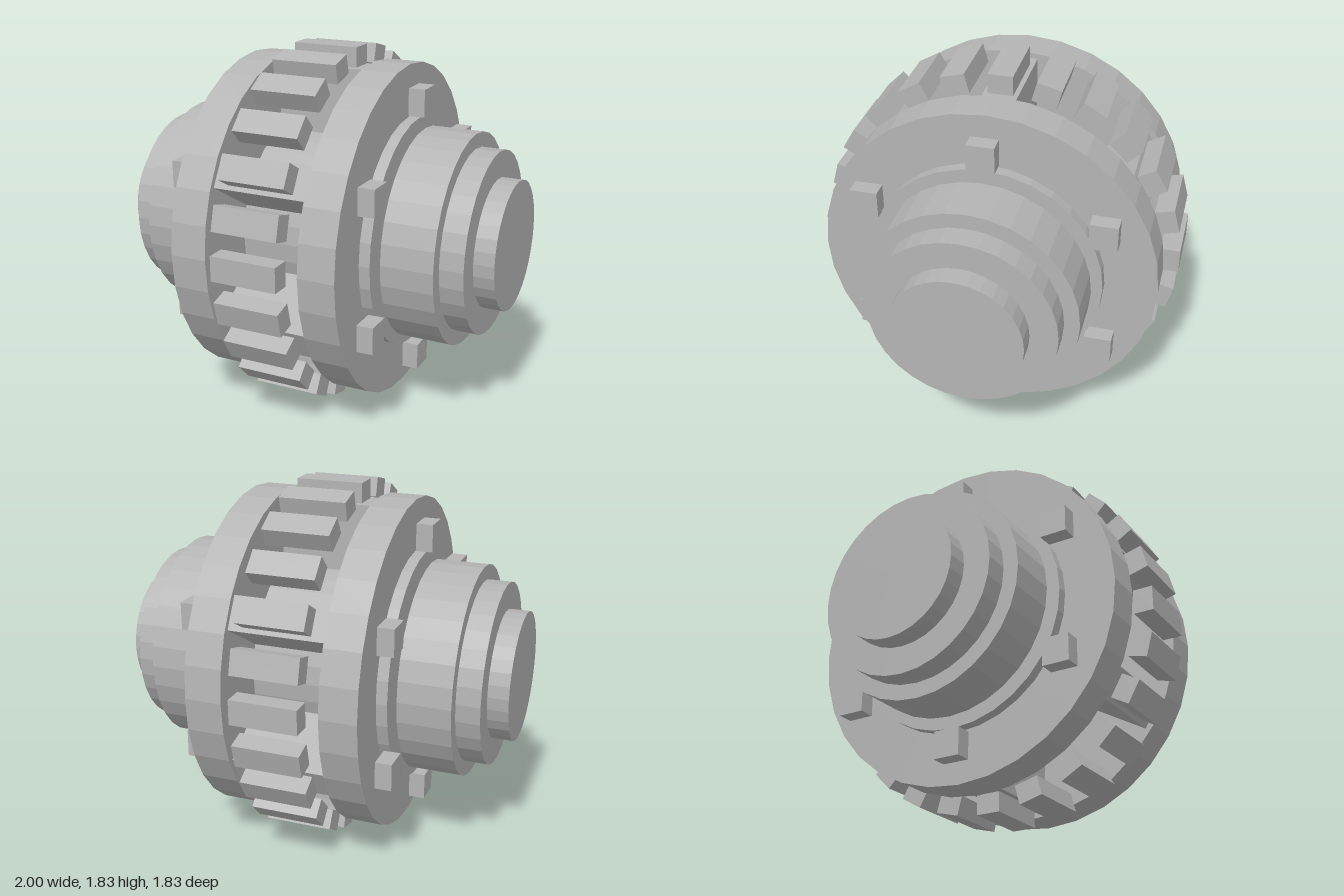
import * as THREE from 'three';

const AXIS_Y = 0.915;

export function createModel() {
  const model = new THREE.Group();
  model.name = 'shaftCoupling';
  const steel = new THREE.MeshStandardMaterial({ color: 0xb4b4b4, flatShading: true });
  steel.name = 'grey steel';

  // The rotor is built around the x axis, then lifted to stand on y = 0
  const rotor = new THREE.Group();
  rotor.name = 'rotor';
  rotor.position.y = AXIS_Y;
  model.add(rotor);

  function add(name, geometry) {
    const mesh = new THREE.Mesh(geometry, steel);
    mesh.name = name;
    rotor.add(mesh);
    return mesh;
  }

  // Solid disc along x between two stations
  function disc(name, radius, x0, x1) {
    const g = new THREE.CylinderGeometry(radius, radius, Math.abs(x1 - x0), 32);
    g.rotateZ(Math.PI / 2);
    add(name, g).position.x = (x0 + x1) / 2;
  }

  // Ring of boxes reaching radially from r0 to r1
  function radialBoxes(name, count, length, r0, r1, width) {
    const g = new THREE.BoxGeometry(length, r1 - r0, width);
    g.translate(0, (r0 + r1) / 2, 0);
    for (let i = 0; i < count; i++) {
      add(name, g).rotation.x = (i / count) * Math.PI * 2;
    }
  }

  // Core, spacer bars and outer teeth
  disc('core', 0.48, -0.25, 0.25);
  radialBoxes('spacerBar', 6, 0.5, 0.4, 0.812, 0.17);
  radialBoxes('tooth', 24, 0.34, 0.815, 0.915, 0.125);

  // Mirrored flange, stepped hub and bolts
  const boltGeometry = new THREE.BoxGeometry(0.083, 0.136, 0.136);
  for (const s of [-1, 1]) {
    disc('flange', 0.845, s * 0.243, s * 0.43);
    disc('flangeCollar', 0.585, s * 0.42, s * 0.485);
    disc('neck', 0.24, s * 0.47, s * 0.53);
    disc('hub', 0.535, s * 0.515, s * 0.778);
    disc('hubStep', 0.46, s * 0.77, s * 0.897);
    disc('shaftEnd', 0.325, s * 0.89, s * 1.0);
    for (let i = 0; i < 6; i++) {
      const a = (i / 6) * Math.PI * 2;
      add('bolt', boltGeometry).position.set(s * 0.493, 0.672 * Math.cos(a), 0.672 * Math.sin(a));
    }
  }
  return model;
}
